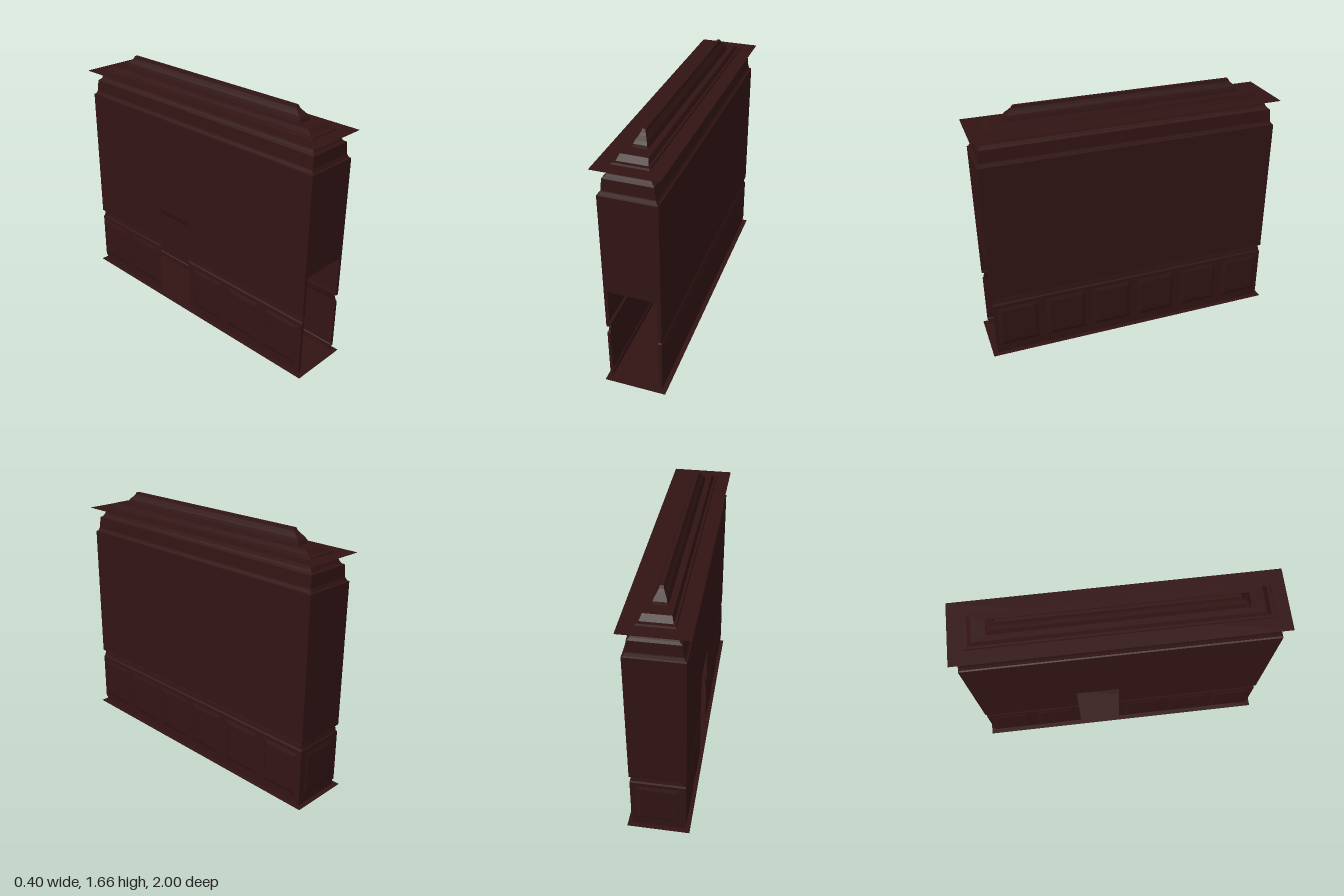
import * as THREE from 'three';

const material = new THREE.MeshStandardMaterial({ color: 0x321414, side: THREE.DoubleSide });

// The four sides of the hall: maps (along, outward) to (x, z), seen left to right from outside
const SIDES = {
  front: (t, o) => [t, o],
  back: (t, o) => [-t, -o],
  right: (t, o) => [o, -t],
  left: (t, o) => [-o, t],
};
const isEnd = (side) => side === 'front' || side === 'back';

// Door openings, as ranges along their side
const DOORS = { front: [-0.155, 0.155], left: [-0.31, -0.02] };

// Mitred band of wall following rings of [y, half width, half length]
function band(name, rings, doors = {}) {
  const pos = [];
  for (const [side, map] of Object.entries(SIDES)) {
    const point = (t, o, y) => { const [x, z] = map(t, o); return [x, y, z]; };
    for (let i = 0; i < rings.length - 1; i++) {
      const [lo, hi] = [rings[i], rings[i + 1]].map(([y, hx, hz]) =>
        isEnd(side) ? { y, o: hz, t: hx } : { y, o: hx, t: hz });
      const gap = doors[side];
      const spans = gap
        ? [[-lo.t, gap[0], -hi.t, gap[0]], [gap[1], lo.t, gap[1], hi.t]]
        : [[-lo.t, lo.t, -hi.t, hi.t]];
      for (const [a, b, c, d] of spans) {
        const p = point(a, lo.o, lo.y), q = point(b, lo.o, lo.y);
        const r = point(d, hi.o, hi.y), s = point(c, hi.o, hi.y);
        pos.push(...p, ...q, ...r, ...p, ...r, ...s);
      }
    }
  }
  const geo = new THREE.BufferGeometry();
  geo.setAttribute('position', new THREE.Float32BufferAttribute(pos, 3));
  geo.computeVertexNormals();
  const mesh = new THREE.Mesh(geo, material);
  mesh.name = name;
  return mesh;
}

// Horizontal sheet facing up
function sheet(name, width, length, y) {
  const mesh = new THREE.Mesh(new THREE.PlaneGeometry(width, length).rotateX(-Math.PI / 2), material);
  mesh.position.y = y;
  mesh.name = name;
  return mesh;
}

// Raised wainscot panel with a bevelled rim, facing +z
function panelGeometry(width, height) {
  const depth = 0.008, rim = 0.025;
  const geo = new THREE.BoxGeometry(width, height, depth).toNonIndexed();
  const p = geo.attributes.position;
  for (let i = 0; i < p.count; i++) {
    if (p.getZ(i) < 0) continue;
    p.setX(i, p.getX(i) - Math.sign(p.getX(i)) * rim);
    p.setY(i, p.getY(i) - Math.sign(p.getY(i)) * rim);
  }
  geo.translate(0, 0, depth / 2);
  geo.computeVertexNormals();
  return geo;
}

export function createModel() {
  const group = new THREE.Group();
  group.name = 'panelledHall';

  group.add(sheet('floor', 0.4, 2, 0));
  group.add(sheet('ceilingSheet', 0.4, 2, 1.54));

  // Skirting, wainscot and chair rail, cut by the doors
  group.add(band('wainscot', [
    [0, 0.168, 0.968], [0.035, 0.168, 0.968], [0.04, 0.175, 0.973],
    [0.385, 0.175, 0.973], [0.395, 0.169, 0.967], [0.425, 0.164, 0.963],
    [0.43, 0.16, 0.96], [0.436, 0.16, 0.96], [0.436, 0.177, 0.976],
  ], DOORS));

  // Plain wall: doors reach part of the way up
  group.add(band('lowerWall', [[0.436, 0.177, 0.976], [0.71, 0.177, 0.976]], DOORS));
  group.add(band('upperWall', [[0.71, 0.177, 0.976], [1.37, 0.177, 0.976]]));

  // Cornice and stepped tray ceiling
  group.add(band('cornice', [
    [1.37, 0.177, 0.976], [1.374, 0.168, 0.967], [1.39, 0.16, 0.96],
    [1.396, 0.158, 0.958], [1.47, 0.15, 0.955], [1.48, 0.135, 0.94],
    [1.492, 0.128, 0.933], [1.5, 0.125, 0.93], [1.55, 0.107, 0.908],
    [1.55, 0.093, 0.885], [1.58, 0.081, 0.853], [1.58, 0.045, 0.77],
  ]));

  // Coved light well along the middle
  group.add(band('ceilingCove', [
    [1.58, 0.045, 0.77], [1.598, 0.04, 0.765], [1.615, 0.034, 0.752],
    [1.635, 0.021, 0.728], [1.648, 0.014, 0.715], [1.665, 0.01, 0.705],
  ]));
  group.add(sheet('coveTop', 0.02, 1.41, 1.665));

  // Raised panels along the long sides and the back
  const panels = new THREE.Group();
  panels.name = 'wainscotPanels';
  const geo = panelGeometry(0.27, 0.295);
  const addPanel = (side, t) => {
    const mesh = new THREE.Mesh(geo, material);
    const [x, z] = SIDES[side](t, isEnd(side) ? 0.973 : 0.175);
    mesh.position.set(x, 0.2125, z);
    mesh.rotation.y = { back: Math.PI, right: Math.PI / 2, left: -Math.PI / 2 }[side];
    mesh.name = side + 'Panel';
    panels.add(mesh);
  };
  for (let i = 0; i < 6; i++) {
    const t = (i - 2.5) * 0.325;
    addPanel('right', t);
    if (i !== 2) addPanel('left', t); // the side door takes this bay
  }
  addPanel('back', 0);
  group.add(panels);

  return group;
}
